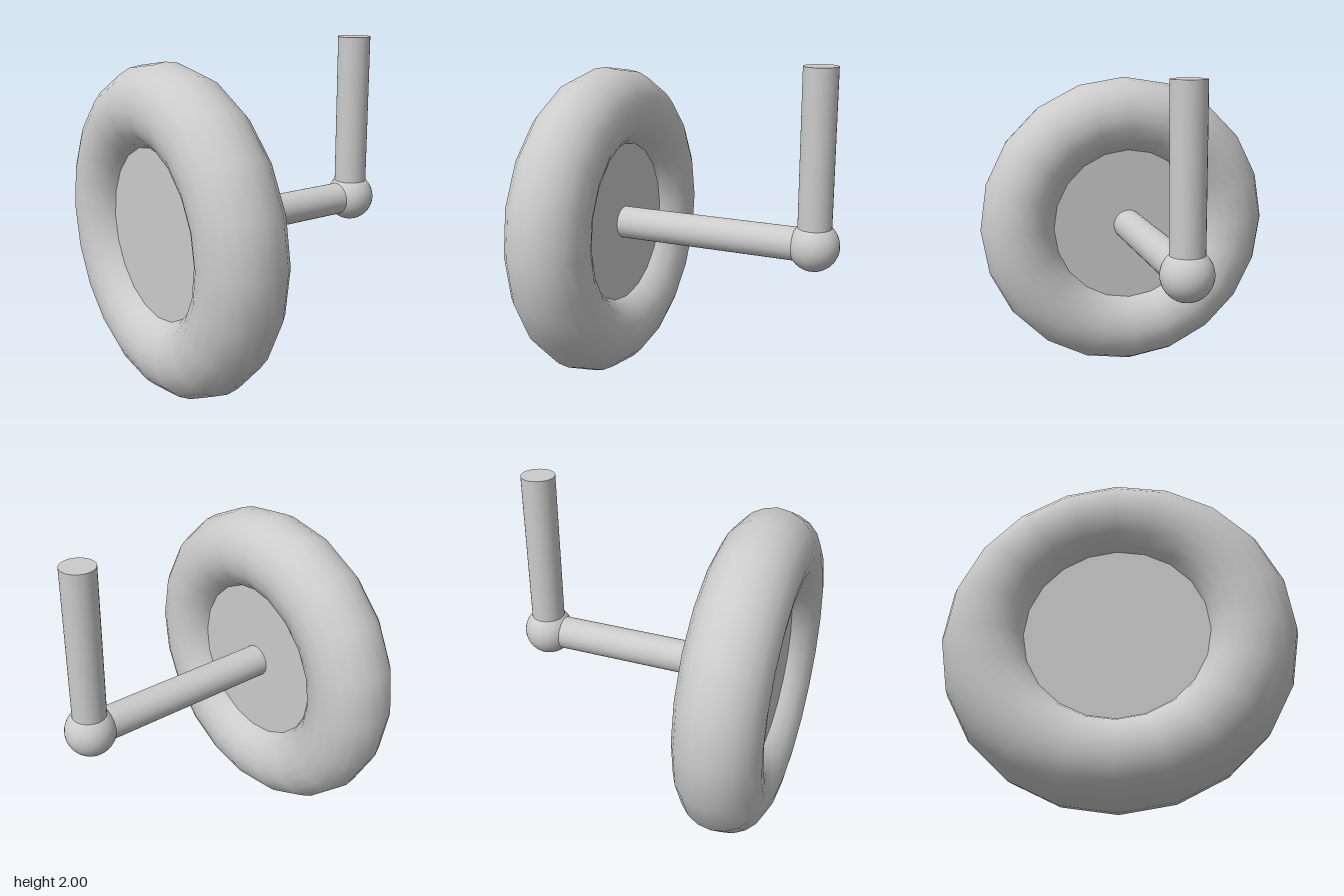
import * as THREE from 'three';

const material = new THREE.MeshStandardMaterial({ color: 0xcccccc });
const HUB_Y = 0.967, WHEEL_Z = 0.625, PIVOT_Z = -0.72, ROD_R = 0.1;

function addPart(group, name, geometry, x, y, z) {
  const mesh = new THREE.Mesh(geometry, material);
  mesh.name = name;
  mesh.position.set(x, y, z);
  group.add(mesh);
  return mesh;
}

// Cylinder lying along z
function zCylinder(radius, length, sides) {
  return new THREE.CylinderGeometry(radius, radius, length, sides).rotateX(Math.PI / 2);
}

export function createModel() {
  const model = new THREE.Group();
  model.name = 'wheelOnCrank';

  // Wheel: a 20-sided tyre around a solid disc
  addPart(model, 'tyre', new THREE.TorusGeometry(0.722, 0.245, 20, 20), 0, HUB_Y, WHEEL_Z);
  addPart(model, 'wheelDisc', zCylinder(0.7, 0.204, 40), 0, HUB_Y, WHEEL_Z);

  // Axle from the disc back to the joint
  const axleLength = WHEEL_Z - PIVOT_Z;
  addPart(model, 'axle', zCylinder(ROD_R, axleLength, 32), 0, HUB_Y, (WHEEL_Z + PIVOT_Z) / 2);

  // Ball joint and upright post
  addPart(model, 'ballJoint', new THREE.SphereGeometry(0.15, 32, 24), 0, HUB_Y, PIVOT_Z);
  const postLength = 2 - HUB_Y;
  addPart(model, 'post', new THREE.CylinderGeometry(ROD_R, ROD_R, postLength, 32), 0, HUB_Y + postLength / 2, PIVOT_Z);

  return model;
}
